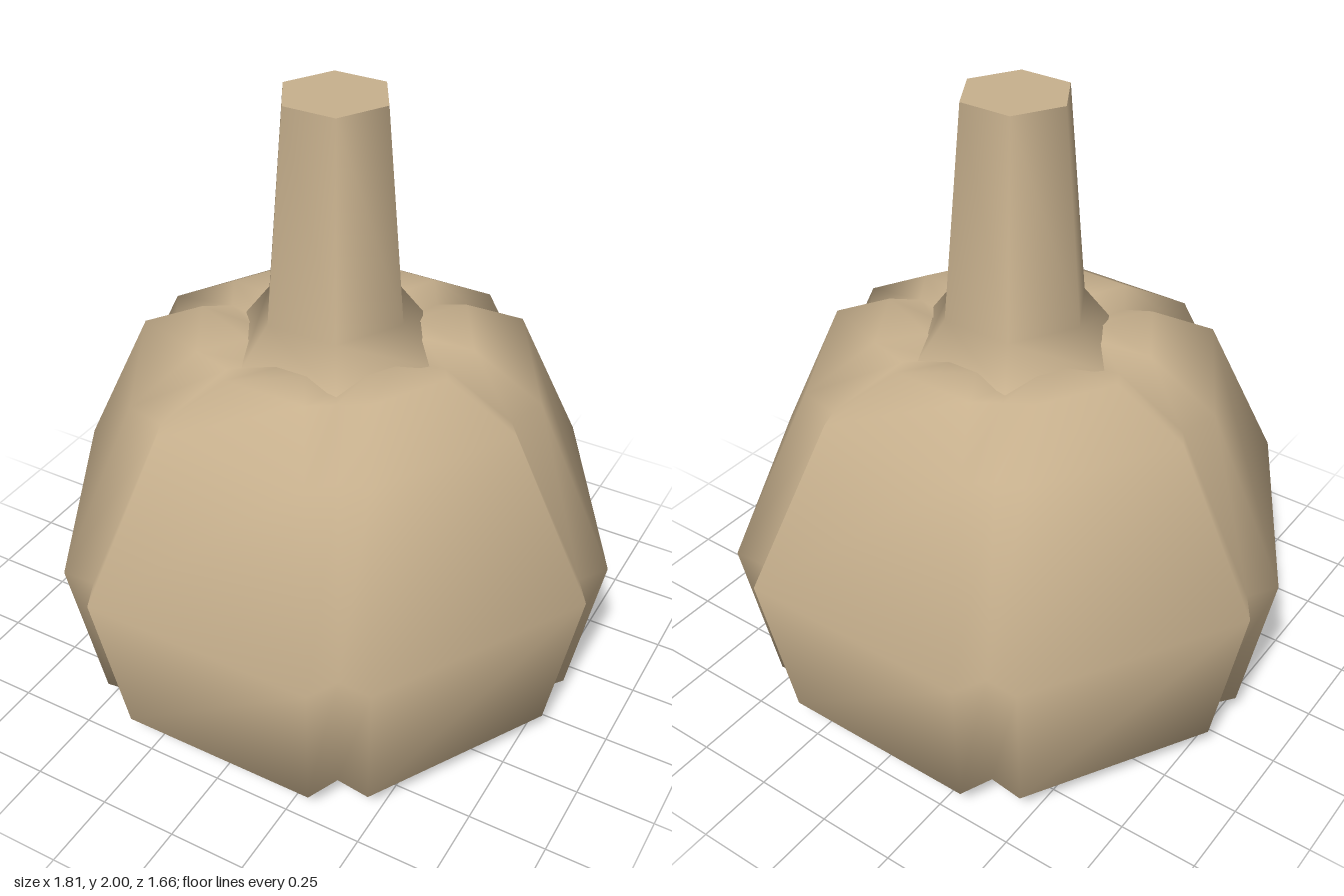
import * as THREE from 'three';

const LOBES = 6;
const GAP = 0.09; // half-width of each groove

// Rows from the base upward: [corner reach, corner y, groove reach, groove y]
const ROWS = [
  [0.29, 0, 0.27, 0.005],
  [0.555, 0.03, 0.51, 0.035],
  [0.808, 0.09, 0.75, 0.1],
  [0.906, 0.61, 0.848, 0.61],
  [0.645, 1.13, 0.59, 1.105],
  [0.42, 1.25, 0.37, 1.22],
  [0.25, 1.24, 0.25, 1.2],
];

// Six-lobed body: every groove adds a corner, a valley and a corner to each ring
function bodyGeometry() {
  const pos = [], index = [];
  const n = LOBES * 3;
  for (const [reach, y, grooveReach, grooveY] of ROWS) {
    for (let k = 0; k < LOBES; k++) {
      const t = Math.PI / 6 + (k * Math.PI) / 3;
      const s = Math.sin(t), c = Math.cos(t);
      for (const side of [-1, 0, 1]) {
        const r = side ? reach : grooveReach;
        const w = side * GAP;
        pos.push(s * r + c * w, side ? y : grooveY, c * r - s * w);
      }
    }
  }
  for (let i = 0; i < ROWS.length - 1; i++) {
    for (let j = 0; j < n; j++) {
      const a = i * n + j, b = i * n + ((j + 1) % n);
      index.push(a, b, b + n, a, b + n, a + n);
    }
  }
  // underside
  const centre = pos.length / 3;
  pos.push(0, 0, 0);
  for (let j = 0; j < n; j++) index.push(centre, (j + 1) % n, j);

  const g = new THREE.BufferGeometry();
  g.setAttribute('position', new THREE.Float32BufferAttribute(pos, 3));
  g.setIndex(index);
  g.computeVertexNormals();
  return g;
}

export function createModel() {
  const model = new THREE.Group();
  model.name = 'pumpkin';
  const tan = new THREE.MeshStandardMaterial({ color: 0xc8b18e });
  tan.name = 'tan';

  const add = (name, geometry) => {
    const mesh = new THREE.Mesh(geometry, tan);
    mesh.name = name;
    model.add(mesh);
    return mesh;
  };

  add('lobedBody', bodyGeometry());

  // Tapered hexagonal stem with a flared foot
  const profile = [[0.32, 1.21], [0.23, 1.33], [0.168, 2]].map(([r, y]) => new THREE.Vector2(r, y));
  add('stem', new THREE.LatheGeometry(profile, 6, Math.PI / 6));

  // Flat cut end of the stem
  add('stemTop', new THREE.CircleGeometry(0.168, 6).rotateX(-Math.PI / 2)).position.y = 2;

  return model;
}
